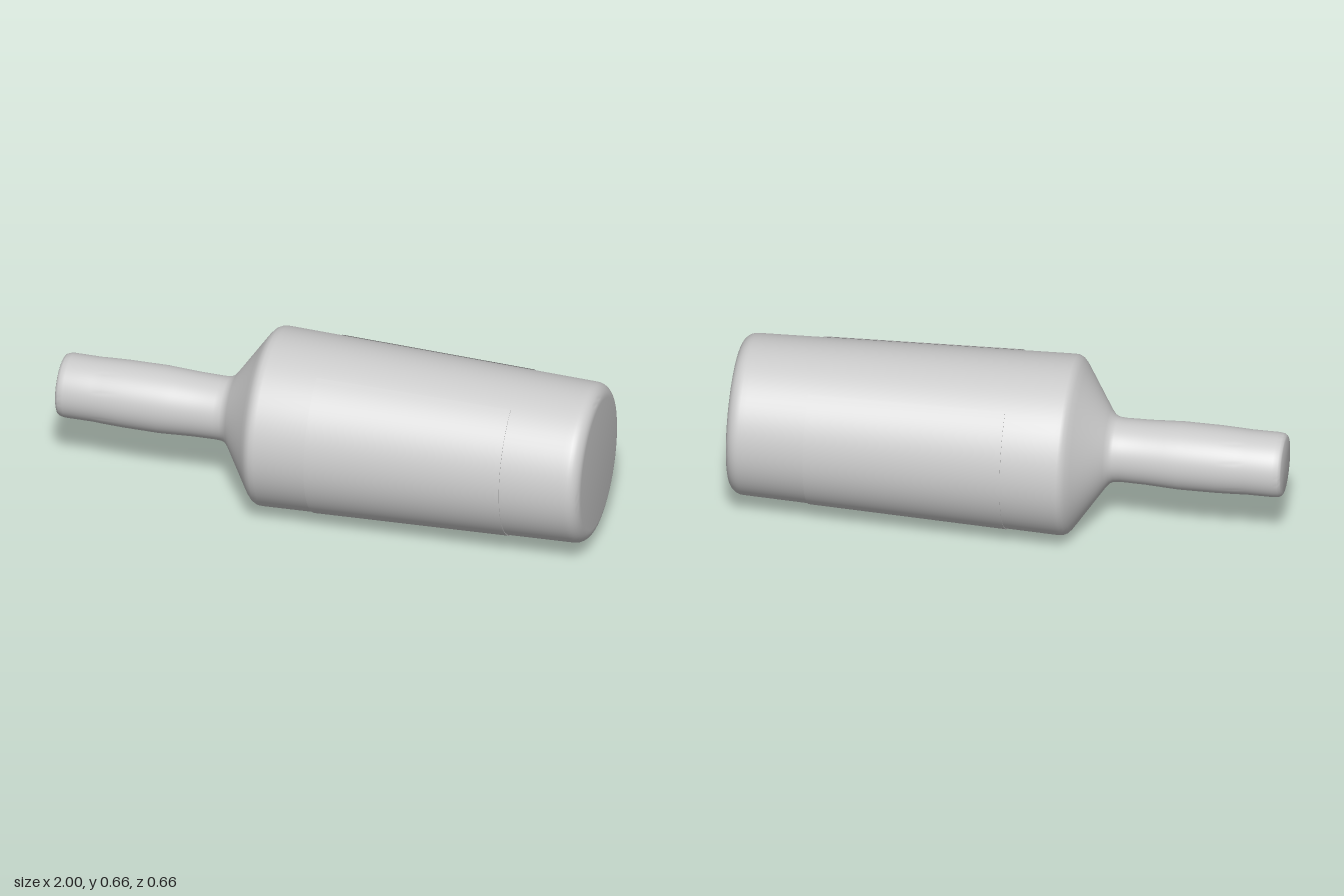
import * as THREE from 'three';
import { toCreasedNormals } from 'three/addons/utils/BufferGeometryUtils.js';

const AXIS_Y = 0.33;

// Radius of the gently tapering barrel at a position along the axis
const bodyRadius = (x) => 0.328 - (x + 0.2) * 0.0305;

// Revolves [x, radius] pairs about the long axis; angle 0 faces the front
function revolve(name, profile, start = 0, sweep = Math.PI * 2, segments = 72) {
  const points = profile.map(([x, r]) => new THREE.Vector2(r, x));
  const geometry = toCreasedNormals(new THREE.LatheGeometry(points, segments, start, sweep), 0.6);
  const material = new THREE.MeshStandardMaterial({ color: 0xcccccc, side: THREE.DoubleSide });
  const mesh = new THREE.Mesh(geometry, material);
  mesh.name = name;
  mesh.rotation.z = -Math.PI / 2;
  mesh.position.y = AXIS_Y;
  return mesh;
}

export function createModel() {
  const group = new THREE.Group();
  group.name = 'bottle';

  // Neck with a slight swell, conical shoulder, barrel
  const profile = [
    [-1, 0], [-1, 0.102], [-0.997, 0.109], [-0.988, 0.115], [-0.97, 0.118],
    [-0.87, 0.118], [-0.83, 0.12], [-0.76, 0.1225], [-0.62, 0.1235], [-0.57, 0.121],
    [-0.5, 0.1175], [-0.41, 0.116], [-0.385, 0.118], [-0.37, 0.125], [-0.355, 0.142],
    [-0.26, 0.284], [-0.245, 0.306], [-0.232, 0.32], [-0.218, 0.327], [-0.2, 0.328],
  ];
  for (const x of [0.1, 0.4, 0.7, 0.93]) profile.push([x, bodyRadius(x)]);

  // Rounded bottom edge and flat base
  const corner = 0.05;
  const edge = bodyRadius(0.95);
  for (let i = 0; i <= 8; i++) {
    const a = (i / 8) * Math.PI / 2;
    profile.push([1 - corner + corner * Math.sin(a), edge - corner + corner * Math.cos(a)]);
  }
  profile.push([1, 0]);
  group.add(revolve('bottleBody', profile));

  // Thin raised labels wrapped around the front and back
  const lift = 0.003;
  const x0 = -0.012, x1 = 0.71;
  const label = [
    [x0, bodyRadius(x0) - 0.002], [x0, bodyRadius(x0) + lift],
    [x1, bodyRadius(x1) + lift], [x1, bodyRadius(x1) - 0.002],
  ];
  group.add(revolve('frontLabel', label, -1.093, 2.137, 36));
  group.add(revolve('backLabel', label, 2.063, 1.974, 36));

  return group;
}
